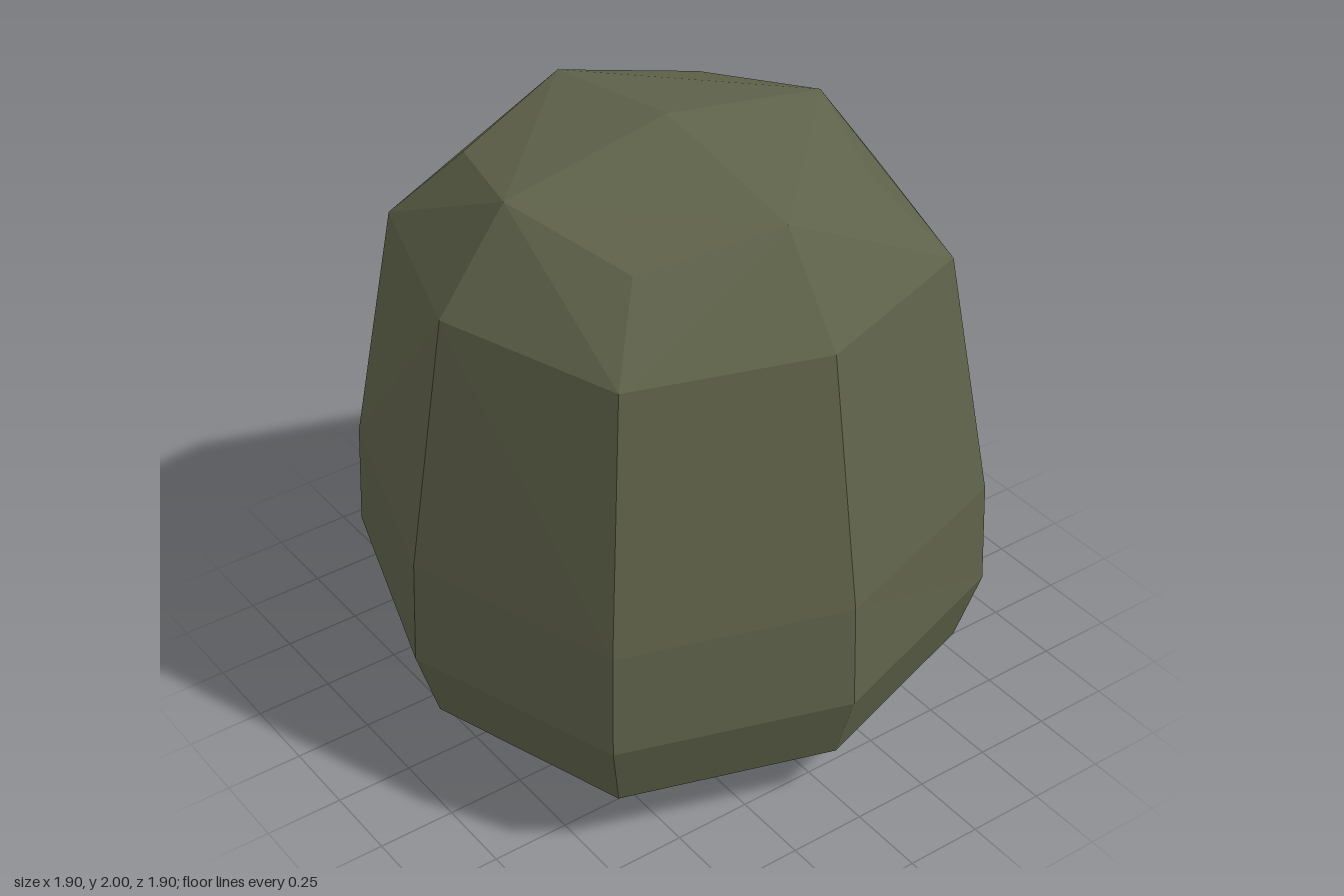
import * as THREE from 'three';

// Each ring: corner distance and height on the axes, then coordinate and height on the diagonals
const RINGS = [
  [0.60, 0.05, 0.475, 0.085],
  [0.875, 0.18, 0.66, 0.18],
  [0.95, 0.42, 0.715, 0.42],
  [0.935, 0.77, 0.705, 0.77],
  [0.80, 1.59, 0.602, 1.59],
  [0.57, 1.90, 0.432, 1.82],
];
const SIDES = 8;

function ringPoint([axis, axisY, diag, diagY], k) {
  const a = (k % SIDES) * Math.PI / 4;
  const odd = k % 2 === 1;
  const r = odd ? diag * Math.SQRT2 : axis;
  return [r * Math.cos(a), odd ? diagY : axisY, r * Math.sin(a)];
}

function boulderGeometry() {
  const pos = [];
  const tri = (a, b, c) => pos.push(...a, ...b, ...c);

  // Side bands, split so that every facet stays convex
  for (let i = 0; i < RINGS.length - 1; i++) {
    for (let k = 0; k < SIDES; k++) {
      const a = ringPoint(RINGS[i], k), b = ringPoint(RINGS[i], k + 1);
      const c = ringPoint(RINGS[i + 1], k + 1), d = ringPoint(RINGS[i + 1], k);
      if ((i === 0) === (k % 2 === 0)) {
        tri(a, d, c);
        tri(a, c, b);
      } else {
        tri(a, d, b);
        tri(b, d, c);
      }
    }
  }

  // Shallow pointed caps, four quads each
  const top = RINGS[RINGS.length - 1], bottom = RINGS[0];
  for (let k = 0; k < SIDES; k += 2) {
    const [a, b, c] = [0, 1, 2].map(n => ringPoint(top, k + n));
    tri([0, 2, 0], c, a);
    tri(c, b, a);
    const [d, e, f] = [0, 1, 2].map(n => ringPoint(bottom, k + n));
    tri([0, 0, 0], d, f);
    tri(d, e, f);
  }

  // Unshared corners give flat facets
  const geometry = new THREE.BufferGeometry();
  geometry.setAttribute('position', new THREE.Float32BufferAttribute(pos, 3));
  geometry.computeVertexNormals();
  return geometry;
}

export function createModel() {
  const group = new THREE.Group();
  group.name = 'boulder';
  const olive = new THREE.MeshStandardMaterial({ color: 0x5f624a });
  olive.name = 'olive stone';
  const body = new THREE.Mesh(boulderGeometry(), olive);
  body.name = 'boulderBody';
  group.add(body);
  return group;
}
